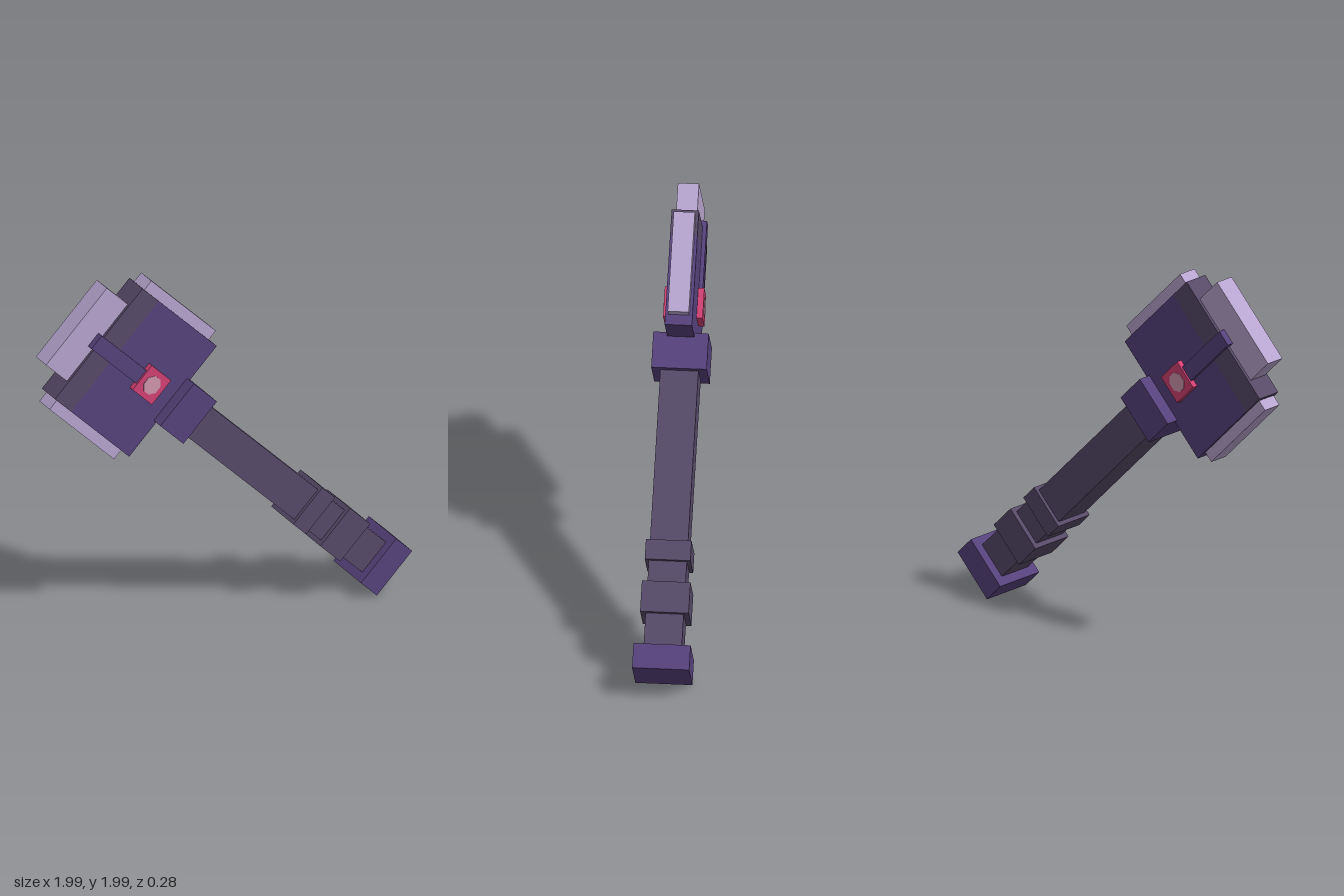
import * as THREE from 'three';

function material(name, color) {
  const m = new THREE.MeshStandardMaterial({ color });
  m.name = name;
  return m;
}

export function createModel() {
  const purple = material('purple', 0x56427c);
  const grey = material('dusky grey', 0x564a68);
  const lavender = material('lavender', 0xb7a5cf);
  const pink = material('crimson pink', 0xd04072);
  const pale = material('pale pink', 0xd095ab);

  // The hammer is built upright along y, then tilted 45 degrees
  const hammer = new THREE.Group();
  hammer.name = 'hammer';
  const axis = 0.707;

  // Box centred at offset dx from the shaft axis, spanning y0 to y1
  function block(name, mat, width, y0, y1, depth, dx = 0) {
    const mesh = new THREE.Mesh(new THREE.BoxGeometry(width, y1 - y0, depth), mat);
    mesh.name = name;
    mesh.position.set(axis + dx, (y0 + y1) / 2, 0);
    hammer.add(mesh);
  }

  // Handle
  block('pommel', purple, 0.278, -0.555, -0.43, 0.28);
  block('shaft', grey, 0.187, -0.43, 0.975, 0.187);
  block('lowerGripRing', grey, 0.236, -0.262, -0.105, 0.238);
  block('upperGripRing', grey, 0.23, 0.005, 0.106, 0.224);
  block('collar', purple, 0.264, 0.972, 1.153, 0.272);

  // Head with a grey band at its crown
  block('head', purple, 0.69, 1.133, 1.59, 0.134);
  block('headCrown', grey, 0.69, 1.59, 1.717, 0.134);
  block('ridge', purple, 0.082, 1.322, 1.749, 0.174);

  // Pale crystal plates around the head
  block('crownPlate', lavender, 0.48, 1.70, 1.881, 0.104);
  for (const side of [-1, 1]) {
    block(side > 0 ? 'rightPlate' : 'leftPlate', lavender, 0.07, 1.185, 1.692, 0.104, side * 0.366);
  }

  // Gem set through the head
  block('gem', pink, 0.152, 1.246, 1.398, 0.194);
  const core = new THREE.Mesh(new THREE.CylinderGeometry(0.05, 0.05, 0.2, 8), pale);
  core.name = 'gemCore';
  core.rotation.set(Math.PI / 2, Math.PI / 8, 0);
  core.position.set(axis, 1.322, 0);
  hammer.add(core);

  hammer.rotation.z = Math.PI / 4;
  const model = new THREE.Group();
  model.name = 'warHammer';
  model.add(hammer);
  return model;
}
